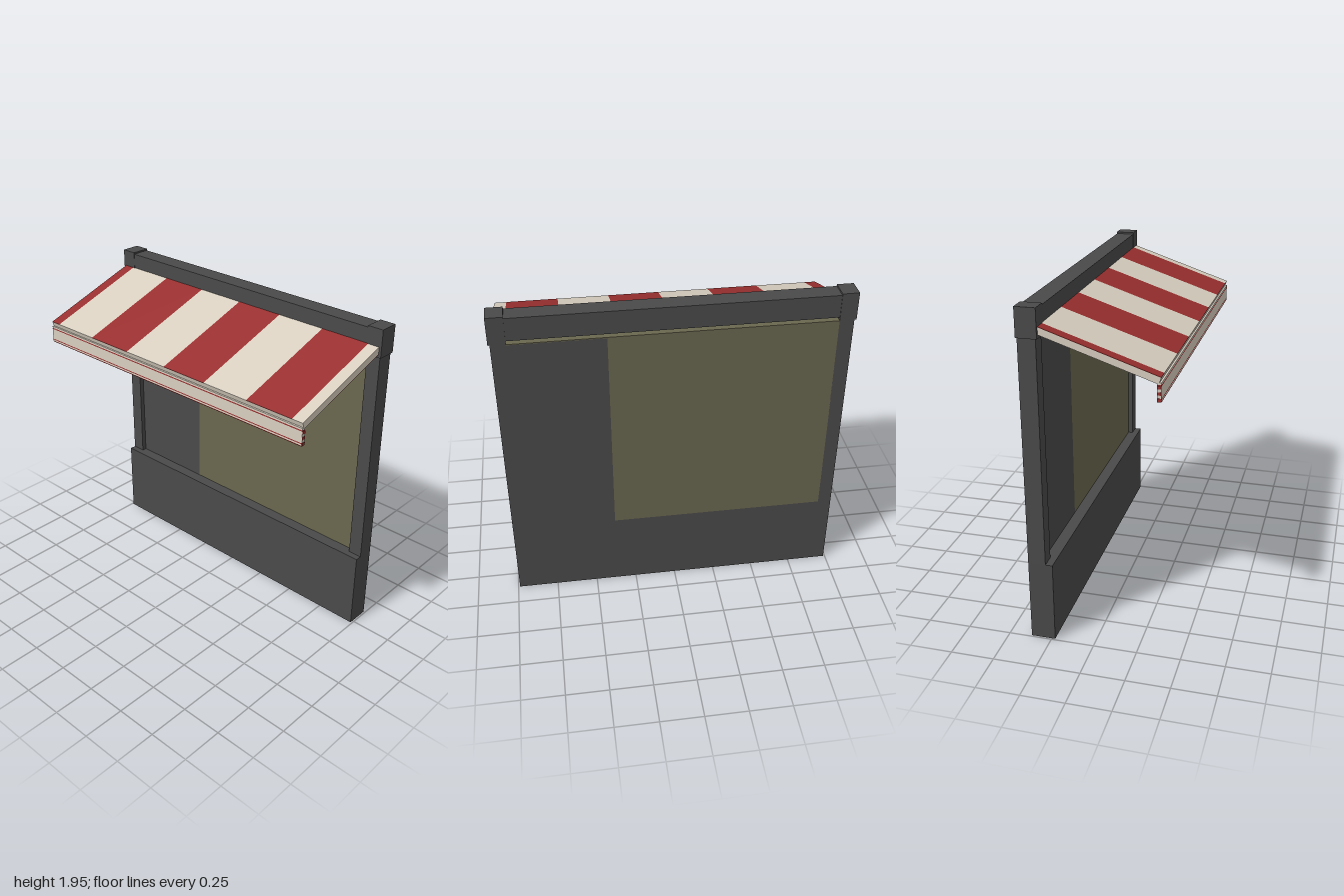
import * as THREE from 'three';

const material = (name, color) => {
  const m = new THREE.MeshStandardMaterial({ color });
  m.name = name;
  return m;
};

// Box given by its min and max on each axis
function box(parent, name, mat, [x0, x1], [y0, y1], [z0, z1]) {
  const mesh = new THREE.Mesh(new THREE.BoxGeometry(x1 - x0, y1 - y0, z1 - z0), mat);
  mesh.position.set((x0 + x1) / 2, (y0 + y1) / 2, (z0 + z1) / 2);
  mesh.name = name;
  parent.add(mesh);
  return mesh;
}

export function createModel() {
  const model = new THREE.Group();
  model.name = 'shopfront';
  const charcoal = material('charcoal', 0x4a4a4a);
  const olive = material('olive', 0x6a674e);
  const cream = material('cream', 0xd8cfc0);
  const red = material('red', 0x992f2f);

  // Frame: base wall, top beam, posts and their caps
  box(model, 'baseWall', charcoal, [-0.99, 0.99], [0, 0.48], [-0.37, -0.23]);
  box(model, 'topBeam', charcoal, [-0.95, 0.95], [1.8, 1.935], [-0.372, -0.262]);
  for (const [side, s] of [['left', 1], ['right', -1]]) {
    const span = (a, b) => (s > 0 ? [a, b] : [-b, -a]);
    box(model, side + 'Post', charcoal, span(0.907, 0.99), [0.48, 1.79], [-0.37, -0.27]);
    box(model, side + 'PostCap', charcoal, span(0.905, 1), [1.782, 1.945], [-0.375, -0.26]);
  }

  // Panel: each face has its dark part on the viewer's left
  const panel = new THREE.Group();
  panel.name = 'windowPanel';
  model.add(panel);
  const panelY = [0.48, 1.773];
  box(panel, 'frontDarkPane', charcoal, [-0.91, -0.37], panelY, [-0.335, -0.3]);
  box(panel, 'frontOlivePane', olive, [-0.37, 0.91], panelY, [-0.335, -0.3]);
  box(panel, 'backDarkPane', charcoal, [0.37, 0.91], panelY, [-0.37, -0.335]);
  box(panel, 'backOlivePane', olive, [-0.91, 0.37], panelY, [-0.37, -0.335]);
  box(panel, 'panelTop', olive, [-0.907, 0.907], [1.773, 1.778], [-0.37, -0.3]);

  // Sloping awning, pivoting on its front top edge
  const awning = new THREE.Group();
  awning.name = 'awning';
  awning.position.set(0, 1.635, 0.373);
  awning.rotation.x = 0.319;
  model.add(awning);
  box(awning, 'awningCore', cream, [-0.985, 0.985], [-0.038, -0.002], [-0.69, 0]);

  // Stripes on top, mirrored underneath
  const edges = [-0.985, -0.917, -0.61, -0.305, 0, 0.305, 0.61, 0.915, 0.985];
  for (let i = 0; i < edges.length - 1; i++) {
    const mat = i % 2 ? cream : red;
    const [a, b] = [edges[i], edges[i + 1]];
    box(awning, 'topStripe', mat, [a, b], [-0.002, 0], [-0.69, 0]);
    box(awning, 'undersideStripe', mat, [-b, -a], [-0.04, -0.038], [-0.69, 0]);
  }

  // Hanging valance with thin red lines
  const valance = new THREE.Group();
  valance.name = 'valance';
  model.add(valance);
  const levels = [1.505, 1.508, 1.516, 1.522, 1.588, 1.595, 1.606];
  levels[0] = 1.503;
  const bands = [red, cream, red, cream, red, cream];
  bands.forEach((mat, i) => {
    box(valance, 'valanceBand', mat, [-0.985, 0.985], [levels[i], levels[i + 1]], [0.352, 0.374]);
  });
  // Striped ends of the valance
  for (const s of [-1, 1]) {
    for (const y of [1.515, 1.548, 1.581]) {
      box(valance, 'valanceEndStripe', red, [s * 0.986 - 0.002, s * 0.986 + 0.002], [y - 0.008, y + 0.008], [0.353, 0.373]);
    }
  }
  return model;
}
